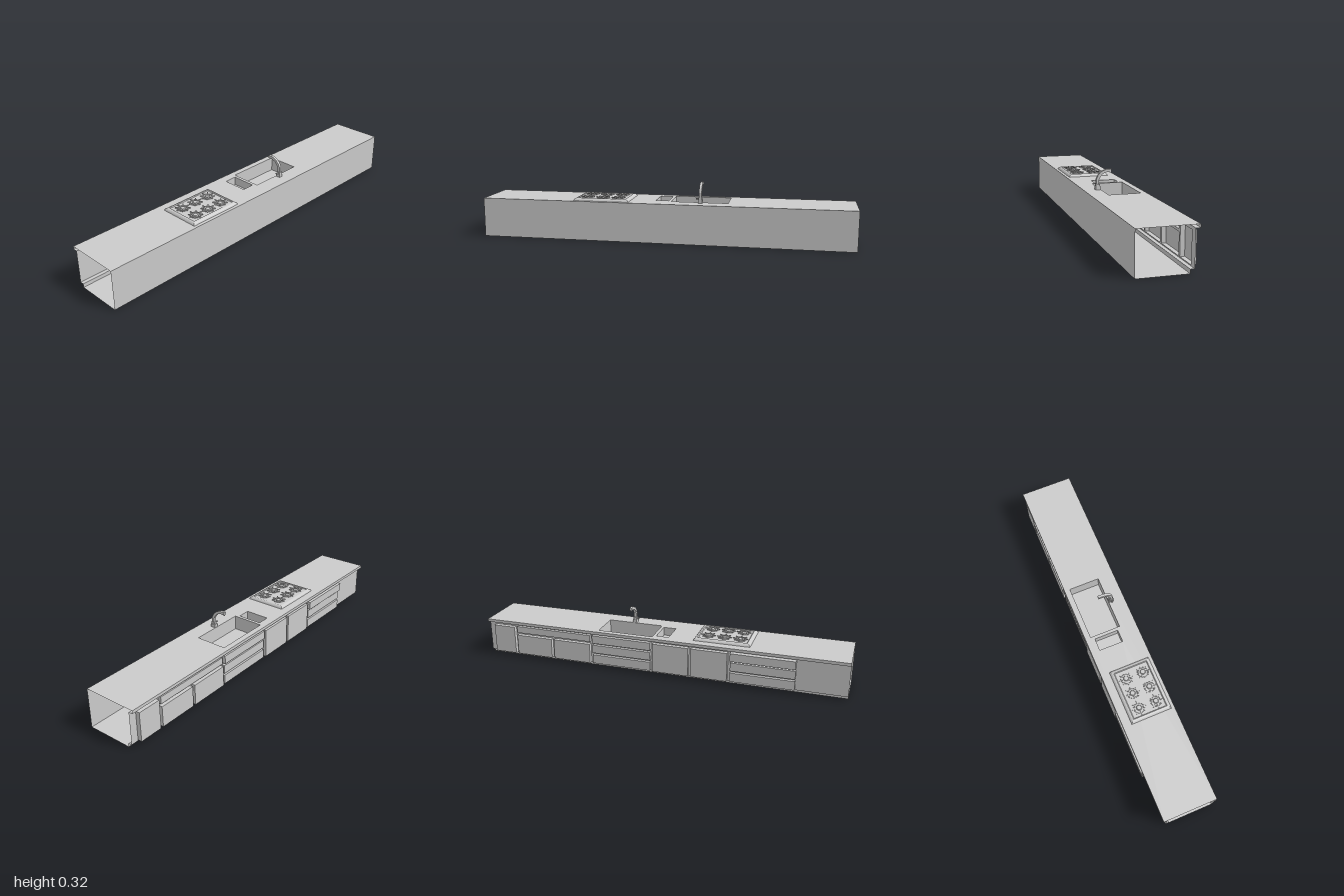
import * as THREE from 'three';

const TOP = 0.212, WALL = -0.12;
const mat = new THREE.MeshStandardMaterial({ color: 0xcccccc, side: THREE.DoubleSide, flatShading: true });

function add(parent, name, geo, x = 0, y = 0, z = 0) {
  const m = new THREE.Mesh(geo, mat);
  m.name = name;
  m.position.set(x, y, z);
  parent.add(m);
  return m;
}

function rect(a0, a1, b0, b1, Kind = THREE.Shape) {
  return new Kind([[a0, b0], [a1, b0], [a1, b1], [a0, b1]].map(p => new THREE.Vector2(...p)));
}

// Box missing one face (0..5 = +x -x +y -y +z -z)
function openBox(x0, x1, y0, y1, z0, z1, missing) {
  const g = new THREE.BoxGeometry(x1 - x0, y1 - y0, z1 - z0);
  g.setIndex([...g.index.array].filter((_, i) => Math.floor(i / 6) !== missing));
  g.clearGroups();
  return g.translate((x0 + x1) / 2, (y0 + y1) / 2, (z0 + z1) / 2);
}

// Sheet following an x,y polyline along the whole counter
function sheet(points) {
  const pos = [], idx = [];
  points.forEach(([x, y], i) => {
    pos.push(x, y, -1, x, y, 1);
    if (i) {
      const a = 2 * i - 2;
      idx.push(a, a + 1, a + 2, a + 1, a + 3, a + 2);
    }
  });
  const g = new THREE.BufferGeometry();
  g.setAttribute('position', new THREE.Float32BufferAttribute(pos, 3));
  g.setIndex(idx);
  const flat = g.toNonIndexed();
  flat.computeVertexNormals();
  return flat;
}

// Rectangular rings [inset, y] joined to a tray and closed in the middle
function tray(x0, x1, z0, z1, rings) {
  const pos = [], idx = [];
  rings.forEach(([d, y], r) => {
    pos.push(x0 + d, y, z1 - d, x1 - d, y, z1 - d, x1 - d, y, z0 + d, x0 + d, y, z0 + d);
    if (r) for (let i = 0; i < 4; i++) {
      const a = 4 * r - 4 + i, b = 4 * r - 4 + (i + 1) % 4;
      idx.push(a, b, b + 4, a, b + 4, a + 4);
    }
  });
  const e = 4 * rings.length - 4;
  idx.push(e, e + 1, e + 2, e, e + 2, e + 3);
  const g = new THREE.BufferGeometry();
  g.setAttribute('position', new THREE.Float32BufferAttribute(pos, 3));
  g.setIndex(idx);
  const flat = g.toNonIndexed();
  flat.computeVertexNormals();
  return flat;
}

function burner(x, z) {
  const g = new THREE.Group();
  g.name = 'burner';
  g.position.set(x, 0.222, z);
  const profile = [[0.024, 0], [0.025, 0.0035], [0.029, 0.0035], [0.03, 0]];
  add(g, 'burnerRing', new THREE.LatheGeometry(profile.map(p => new THREE.Vector2(...p)), 16));
  add(g, 'burnerCap', new THREE.CylinderGeometry(0.012, 0.015, 0.005, 12), 0, 0.0025, 0);
  for (let i = 0; i < 8; i++) {
    const geo = new THREE.BoxGeometry(0.018, 0.004, 0.005).translate(0.029, 0.0045, 0);
    add(g, 'grateProng', geo).rotation.y = i * Math.PI / 4;
  }
  return g;
}

export function createModel() {
  const model = new THREE.Group();
  model.name = 'kitchenCounter';

  // Cabinet shell, open at both ends
  const body = new THREE.Group();
  body.name = 'cabinet';
  model.add(body);
  add(body, 'backAndFloor', sheet([[0.145, TOP], [0.145, 0], [-0.1, 0], [-0.1, 0.02], [WALL, 0.02]]));
  add(body, 'worktopLip', sheet([[WALL, 0.196], [-0.143, 0.196], [-0.143, TOP]]));

  // Sinks: x0, x1, floor y, z0, z1
  const sinks = [['mainSink', -0.112, 0.056, 0.135, -0.335, -0.03], ['smallSink', -0.094, 0.038, 0.167, -0.013, 0.056]];
  const top = rect(-0.143, 0.145, -1, 1);
  for (const [name, x0, x1, y, z0, z1] of sinks) {
    top.holes.push(rect(x0, x1, -z1, -z0, THREE.Path));
    add(model, name, openBox(x0, x1, y, TOP, z0, z1, 2));
  }
  add(body, 'worktop', new THREE.ShapeGeometry(top).rotateX(-Math.PI / 2), 0, TOP, 0);

  // Doors and drawers: z0, z1, y0, y1, front x
  const fronts = [
    ['door', -0.96, -0.835, 0.025, 0.18, -0.143],
    ['door', -0.82, -0.61, 0.025, 0.135, -0.143],
    ['door', -0.595, -0.38, 0.025, 0.135, -0.143],
    ['drawer', -0.82, -0.38, 0.148, 0.185, -0.138],
    ['door', -0.02, 0.175, 0.025, 0.183, -0.143],
    ['door', 0.19, 0.385, 0.025, 0.183, -0.143],
  ];
  for (const [z0, z1, topX] of [[-0.365, -0.035, -0.143], [0.4, 0.735, -0.15]]) {
    fronts.push(['drawer', z0, z1, 0.025, 0.074, -0.138]);
    fronts.push(['drawer', z0, z1, 0.085, 0.131, -0.138]);
    fronts.push(['drawer', z0, z1, 0.143, 0.187, topX]);
  }
  const wall = rect(-1, 1, 0.02, 0.196);
  for (const [name, z0, z1, y0, y1, x] of fronts) {
    wall.holes.push(rect(z0, z1, y0, y1, THREE.Path));
    add(model, name, openBox(x, WALL, y0, y1, z0, z1, 0));
  }
  add(body, 'cabinetFace', new THREE.ShapeGeometry(wall).rotateY(-Math.PI / 2), WALL, 0, 0);

  // Cooktop with six burners
  const cooktop = new THREE.Group();
  cooktop.name = 'cooktop';
  model.add(cooktop);
  add(cooktop, 'cooktopTray', tray(-0.096, 0.128, 0.19, 0.492,
    [[0, TOP], [0.003, 0.218], [0.008, 0.223], [0.014, 0.2255], [0.018, 0.2255], [0.022, 0.222]]));
  for (const x of [-0.028, 0.067])
    for (const z of [0.257, 0.343, 0.427]) cooktop.add(burner(x, z));

  // Faucet with an arched spout
  const faucet = new THREE.Group();
  faucet.name = 'faucet';
  faucet.position.z = -0.19;
  model.add(faucet);
  const outline = [[0.066, TOP], [0.08, TOP], [0.08, 0.268], [0.07, 0.288], [0.053, 0.306], [0.026, 0.317], [-0.002, 0.317],
    [-0.002, 0.302], [0.022, 0.302], [0.043, 0.295], [0.057, 0.281], [0.066, 0.264]];
  const spout = new THREE.Shape(outline.map(p => new THREE.Vector2(...p)));
  add(faucet, 'spout', new THREE.ExtrudeGeometry(spout, { depth: 0.014, bevelEnabled: false }), 0, 0, -0.007);
  add(faucet, 'faucetBase', new THREE.BoxGeometry(0.026, 0.018, 0.022), 0.071, TOP + 0.009, 0);
  add(faucet, 'faucetCollar', new THREE.BoxGeometry(0.021, 0.012, 0.018), 0.073, 0.235, 0);
  add(faucet, 'nozzle', new THREE.CylinderGeometry(0.004, 0.004, 0.006, 8), 0.003, 0.3, 0);
  add(faucet, 'handle', new THREE.CylinderGeometry(0.004, 0.004, 0.016, 8).rotateX(Math.PI / 2), 0.07, 0.235, 0.015);

  return model;
}
